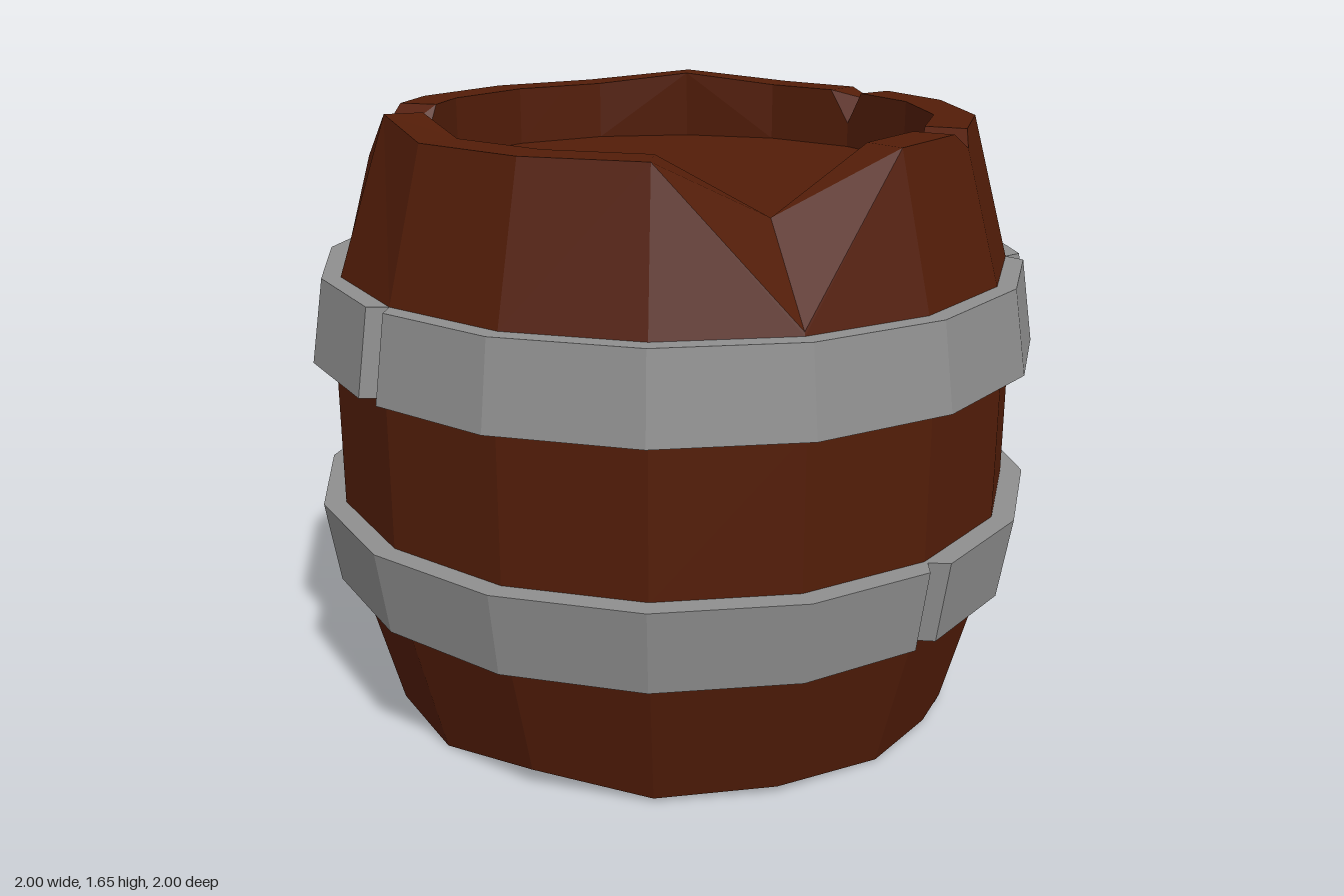
import * as THREE from 'three';

const SIDES = 16, STEP = 360 / SIDES;
const wood = new THREE.MeshStandardMaterial({ color: 0x531d08, flatShading: true });
const iron = new THREE.MeshStandardMaterial({ color: 0x8f8f8f, flatShading: true });

// Point on the 16-sided outline; azimuth in degrees from the front (+z) towards +x.
function ringPoint(az, r, y) {
  const off = ((az % STEP) + STEP) % STEP - STEP / 2;
  const rad = THREE.MathUtils.degToRad;
  const k = r * Math.cos(rad(STEP / 2)) / Math.cos(rad(off));
  return new THREE.Vector3(k * Math.sin(rad(az)), y, k * Math.cos(rad(az)));
}

// Skins the columns (one [radius, height] profile per azimuth) all the way round.
function loft(name, extraAngles, profileAt, closed, material) {
  const angles = [...extraAngles];
  for (let i = 0; i < SIDES; i++) angles.push(i * STEP);
  angles.sort((a, b) => a - b);
  const cols = angles.map(az => profileAt(az).map(([r, y]) => ringPoint(az, r, y)));
  const pos = [];
  const tri = (a, b, c) => {
    if (new THREE.Triangle(a, b, c).getArea() > 1e-6) {
      for (const p of [a, b, c]) pos.push(p.x, p.y, p.z);
    }
  };
  cols.forEach((col, i) => {
    const next = cols[(i + 1) % cols.length];
    const n = col.length;
    for (let j = 0; j < (closed ? n : n - 1); j++) {
      const k = (j + 1) % n;
      const a = col[j], b = next[j], c = next[k], d = col[k];
      // split along the higher diagonal so that the chips fold cleanly
      if (a.y + c.y >= b.y + d.y) { tri(a, b, c); tri(a, c, d); }
      else { tri(a, b, d); tri(b, c, d); }
    }
  });
  const geo = new THREE.BufferGeometry();
  geo.setAttribute('position', new THREE.Float32BufferAttribute(pos, 3));
  geo.computeVertexNormals();
  const mesh = new THREE.Mesh(geo, material);
  mesh.name = name;
  return mesh;
}

// Chips in the top rim: azimuth -> [outer radius, outer y, inner radius, inner y]
const topChips = {
  22.5: [0.912, 1.25, 0.7, 1.47],
  67.5: [0.82, 1.585, 0.7, 1.585],
  135: [0.82, 1.585, 0.7, 1.53],
  180: [0.78, 1.655, 0.68, 1.655],
  270: [0.842, 1.5, 0.7, 1.475],
  292.5: [0.78, 1.655, 0.68, 1.655],
};
// Worn spots along the bottom rim: azimuth -> height
const bottomChips = { 0: 0.01, 22.5: 0.02, 67.5: 0.06, 135: 0.035, 225: 0.11, 337.5: 0.05 };

function bodyProfile(az) {
  const [ro, yo, ri, yi] = topChips[az] || [0.81, 1.625, 0.7, 1.625];
  const yb = bottomChips[az] || 0;
  return [
    [0, 0.12], [0.75, 0.12], [0.75, yb], [0.81 + yb * 0.27, yb],
    [0.915, 0.39], [0.94, 0.61], [0.94, 1.015], [0.915, 1.24],
    [ro, yo], [ri, yi], [0.7, 1.46], [0, 1.46],
  ];
}

// Iron hoop with a wedge-shaped groove at each seam and an optional dent in its top edge.
function hoop(name, y0, y1, r0, r1, seams, dent = []) {
  const extra = [...dent];
  seams.forEach(s => extra.push(s - 2.3, s + 2.3));
  return loft(name, extra, az => {
    const cut = seams.includes(az) ? 0.05 : 0;
    const drop = dent.includes(az) ? 0.04 : 0;
    return [[0.9, y0], [r0 - cut, y0], [r1 - cut, y1 - drop], [0.9, y1 - drop / 2]];
  }, true, iron);
}

export function createModel() {
  const barrel = new THREE.Group();
  barrel.name = 'barrel';
  // Staves, rims and recessed lids in one skin; extra columns bound the narrow chips
  barrel.add(loft('barrelBody', [63.5, 71.5, 130, 140, 212, 237, 259.5], bodyProfile, false, wood));
  // Hoops
  barrel.add(hoop('upperHoop', 1.015, 1.24, 1.0, 0.965, [90, 315], [138, 156.5]));
  barrel.add(hoop('lowerHoop', 0.39, 0.615, 0.965, 1.0, [45]));
  return barrel;
}
